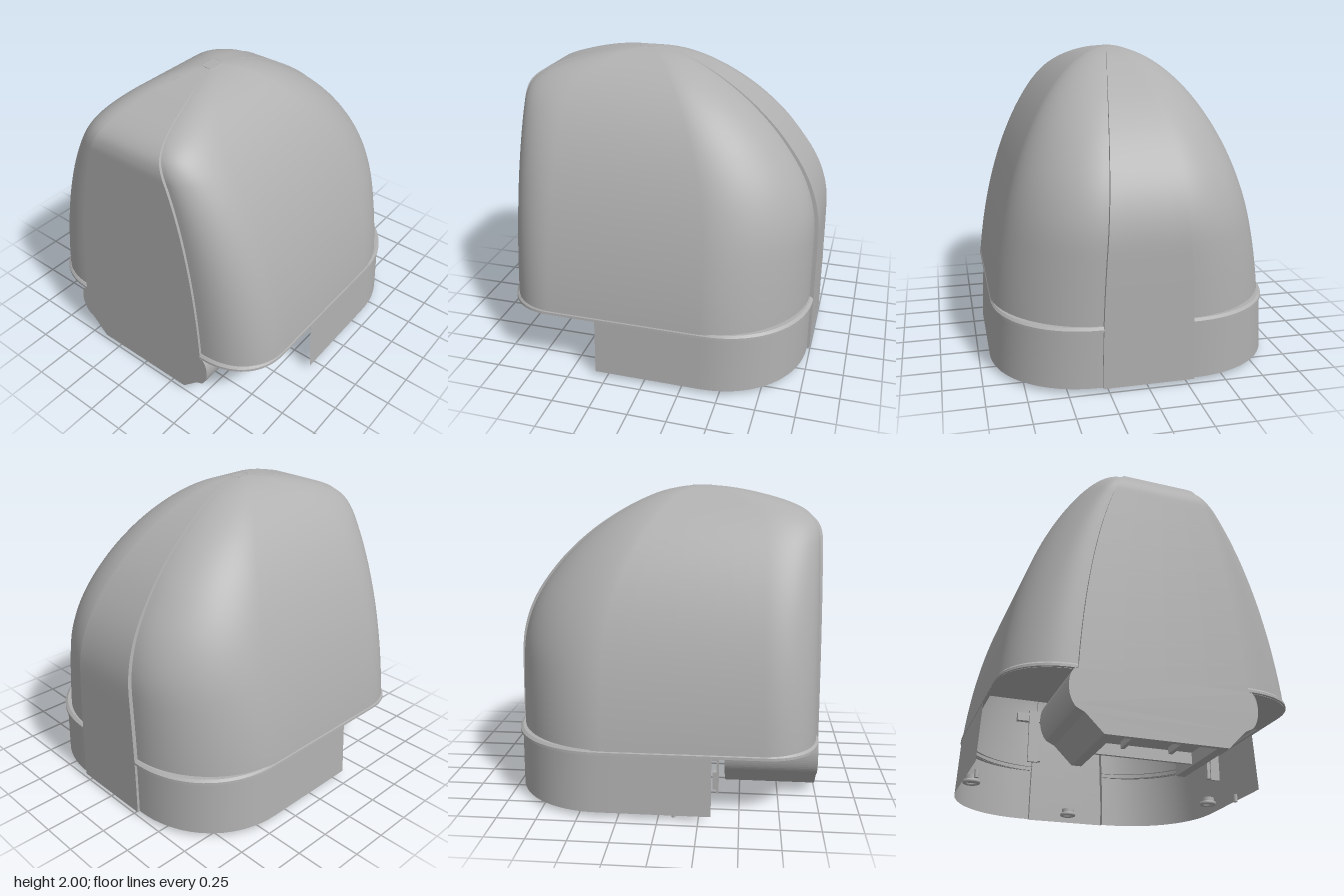
import * as THREE from 'three';

const APEX_X = -0.2, DEPTH = 0.93, BASE_Y = 0.03, RIM_Y = 0.4;
const RIGHT_SEAM = 0.31, LEFT_SEAM = 0.57; // band half widths as shares of the depth
const SHELL_ROUND = 1.88, SKIRT_ROUND = 2.12; // corner fullness at the right end

// Reach of the roof to each side of the apex, against c = cos(asin(y / 2))
const table = (c, v) => new THREE.CubicInterpolant(c, v, 1);
const rightReach = table(
  [0, 0.1, 0.2, 0.312, 0.403, 0.546, 0.675, 0.796, 0.866, 0.93, 1],
  [0, 0.12, 0.26, 0.41, 0.54, 0.76, 0.96, 1.13, 1.19, 1.2, 1.2]);
const leftReach = table(
  [0, 0.122, 0.233, 0.334, 0.392, 0.456, 0.527, 0.62, 0.8, 1],
  [0, 0.2, 0.4, 0.6, 0.7, 0.77, 0.798, 0.8, 0.8, 0.8]);

// Maps a normalised outline point (px, pz) at height angle t to space; the top ends in a small flat
function place(px, pz, t, scale = 1) {
  const c = Math.max(0.045, Math.cos(t));
  const reach = px >= 0 ? Math.min(1.2, rightReach.evaluate(c)[0]) : Math.min(0.8, leftReach.evaluate(c)[0]);
  return [APEX_X + px * reach * scale, 2 * Math.sin(t), pz * DEPTH * c];
}
const angleOf = (y) => Math.asin(y / 2);

// Half outline from the right seam round the front to the left seam, or to endPx
function halfOutline(power, endPx) {
  const pts = [], n = 18;
  const corner = (centre, r, seam, p, a) => [
    centre + r * Math.sign(Math.cos(a)) * Math.abs(Math.cos(a)) ** (2 / p),
    seam + (1 - seam) * Math.max(0, Math.sin(a)) ** (2 / p)];
  for (let i = 0; i <= n; i++) pts.push(corner(0.48, 0.52, RIGHT_SEAM, power, (i / n) * Math.PI / 2));
  const stop = endPx ?? -0.56;
  for (let i = 1; i < 8; i++) pts.push([0.48 + (stop - 0.48) * i / 8, 1]);
  if (endPx !== undefined) return [...pts, [endPx, 1]];
  for (let i = 0; i <= n; i++) pts.push(corner(-0.56, 0.44, LEFT_SEAM, 2.2, Math.PI / 2 + (i / n) * Math.PI / 2));
  return pts;
}
const mirrored = (pts) => pts.map(([x, z]) => [x, -z]).reverse();

// Surface through a grid of points
function grid(rows, cols, at) {
  const pos = [], index = [];
  for (let r = 0; r < rows; r++) for (let c = 0; c < cols; c++) {
    pos.push(...at(r, c));
    if (r && c) {
      const d = r * cols + c, b = d - cols;
      index.push(b - 1, d - 1, b, b, d - 1, d);
    }
  }
  const g = new THREE.BufferGeometry();
  g.setAttribute('position', new THREE.Float32BufferAttribute(pos, 3));
  g.setIndex(index);
  g.computeVertexNormals();
  return g;
}

// Drawer cross-section with rounded sides, optionally hollow beneath, extruded along x
function drawerGeometry(length, hollow) {
  const s = new THREE.Shape();
  s.moveTo(0.54, 0.4);
  s.bezierCurveTo(0.585, 0.36, 0.585, 0.23, 0.53, 0.175);
  s.lineTo(0.48, 0.15);
  s.lineTo(0.37, 0.04);
  if (hollow) for (const [z, y] of [[0.31, 0.04], [0.31, 0.36], [-0.31, 0.36], [-0.31, 0.04]]) s.lineTo(z, y);
  s.lineTo(-0.37, 0.04);
  s.lineTo(-0.48, 0.15);
  s.lineTo(-0.53, 0.175);
  s.bezierCurveTo(-0.585, 0.23, -0.585, 0.36, -0.54, 0.4);
  return new THREE.ExtrudeGeometry(s, { depth: length, bevelEnabled: false, curveSegments: 16 }).rotateY(-Math.PI / 2);
}

export function createModel() {
  const model = new THREE.Group();
  model.name = 'domedHousing';
  const grey = new THREE.MeshStandardMaterial({ color: 0xb0b0b0, side: THREE.DoubleSide });
  grey.name = 'grey';
  const add = (name, geometry, x = 0, y = 0, z = 0) => {
    const m = new THREE.Mesh(geometry, grey);
    m.name = name;
    m.position.set(x, y, z);
    model.add(m);
  };
  const rowAngle = (y0, r, rows) => angleOf(y0) + (Math.PI / 2 - angleOf(y0)) * r / (rows - 1);
  const shellHalf = halfOutline(SHELL_ROUND), lipHalf = halfOutline(SKIRT_ROUND);
  const skirtHalf = halfOutline(SKIRT_ROUND, -0.1625);

  for (const s of [1, -1]) {
    const side = s > 0 ? 'front' : 'back';
    const [shell, rim, low] = [shellHalf, lipHalf, skirtHalf].map((p) => (s > 0 ? p : mirrored(p)));

    // Domed shell half
    const rows = 56;
    add(side + 'Shell', grid(rows, shell.length, (r, c) => place(...shell[c], rowAngle(RIM_Y, r, rows), 0.978)));

    // Thin lip round the foot of the shell, one strip per face
    const lip = [[shell, 0.97, 0.402, 0.98], [rim, 1, 0.402, 1.004], [rim, 1, 0.418, 1.004],
      [rim, 0.985, 0.432, 0.995], [shell, 0.97, 0.432, 0.98]];
    for (let i = 0; i < lip.length - 1; i++) {
      add(side + 'Lip', grid(2, rim.length, (r, c) => {
        const [pts, sx, y, sz] = lip[i + r];
        return place(pts[c][0], pts[c][1] * sz, angleOf(y), sx);
      }));
    }

    // Skirt, cut away at the left for the drawer
    add(side + 'Skirt', grid(2, low.length, (r, c) =>
      place(...low[c], angleOf(r ? RIM_Y + 0.005 : BASE_Y), 0.985)));

    // Foot pin under the skirt
    add(side + 'FootPin', new THREE.CylinderGeometry(0.014, 0.014, 0.05, 12), -0.095, 0.025, s * 0.88);
  }

  // Raised bands running up both ends to the apex: narrow on the right, wide on the left
  for (const [e, seam, y0, name] of [[1, RIGHT_SEAM, BASE_Y, 'rightEndBand'], [-1, LEFT_SEAM, RIM_Y, 'leftEndBand']]) {
    const rows = 64;
    add(name, grid(rows, 5, (r, c) => place(e, e * seam * (c / 2 - 1), rowAngle(y0, r, rows))));
    for (const s of [1, -1]) {
      add(name + 'Edge', grid(rows, 2, (r, c) =>
        place(e, s * seam, rowAngle(y0, r, rows), (e * s > 0 ? c : 1 - c) ? 0.96 : 1)));
    }
  }

  // Flat plates across the outline: the cap at the apex, and the panel above the drawer
  const plate = (t, maxX) => {
    const pts = [...shellHalf, ...mirrored(shellHalf)].map(([px, pz]) => place(px, pz, t, 0.978))
      .filter(([x]) => x < maxX).map(([x, , z]) => new THREE.Vector2(x, -z));
    return new THREE.ShapeGeometry(new THREE.Shape(pts)).rotateX(-Math.PI / 2);
  };
  add('apexCap', plate(Math.PI / 2, 1), 0, 2, 0);
  add('drawerPanel', plate(angleOf(RIM_Y), -0.35), 0, RIM_Y + 0.004, 0);

  // Screw bosses inside the foot of the skirt
  for (const [x, z] of [[0.26, 0.85], [0.26, -0.85], [0.91, 0]]) {
    add('bossRing', new THREE.TorusGeometry(0.045, 0.014, 8, 24).rotateX(Math.PI / 2), x, 0.07, z);
    add('boss', new THREE.CylinderGeometry(0.045, 0.045, 0.04, 20), x, 0.09, z);
  }

  // Drawer body, open towards the middle, with a solid outer end plate
  add('drawer', drawerGeometry(0.57, true), -0.4, 0, 0);
  add('drawerEndPlate', drawerGeometry(0.03, false), -0.97, 0, 0);

  // Shallow tray in the outer part of the drawer
  add('trayDeck', new THREE.BoxGeometry(0.35, 0.03, 0.62), -0.8, 0.135, 0);
  add('trayWall', new THREE.BoxGeometry(0.02, 0.1, 0.62), -0.625, 0.1, 0);
  for (const z of [-0.15, 0.15]) add('trayRib', new THREE.BoxGeometry(0.2, 0.04, 0.025), -0.78, 0.1, z);

  // Latch clips hanging between drawer and skirt
  for (const s of [1, -1]) {
    add('latchPlate', new THREE.BoxGeometry(0.015, 0.32, 0.06), -0.357, 0.21, s * 0.6);
    add('latchArm', new THREE.BoxGeometry(0.03, 0.05, 0.14), -0.34, 0.33, s * 0.63);
    add('latchHook', new THREE.BoxGeometry(0.03, 0.12, 0.04), -0.34, 0.12, s * 0.57);
  }
  return model;
}
